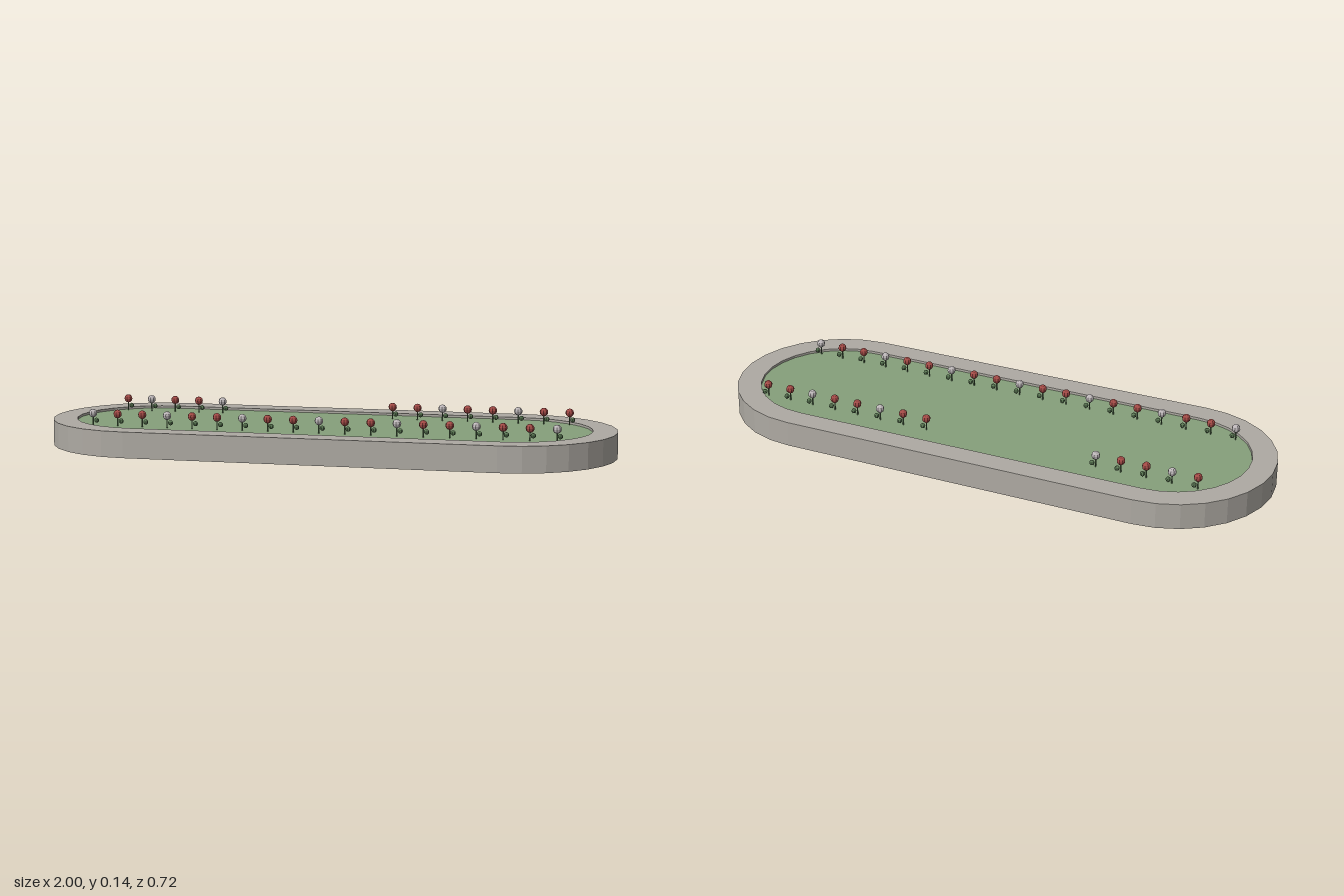
import * as THREE from 'three';

const HALF = 0.64; // half length of the straight sides
const SEG = 14;    // facets on each rounded end

// Corner points of a stadium outline with end radius r
function stadium(r) {
  const pts = [];
  for (const side of [1, -1]) {
    for (let i = 0; i <= SEG; i++) {
      const a = -Math.PI / 2 + (Math.PI * i) / SEG;
      pts.push(new THREE.Vector2(side * (HALF + r * Math.cos(a)), side * r * Math.sin(a)));
    }
  }
  return pts;
}

// Upright slab with a stadium outline between heights y0 and y1
function slab(r, y0, y1) {
  const geo = new THREE.ExtrudeGeometry(new THREE.Shape(stadium(r)), { depth: y1 - y0, bevelEnabled: false });
  return geo.rotateX(-Math.PI / 2).translate(0, y0, 0);
}

// Open vertical wall following a stadium outline
function wall(r, y0, y1, inward) {
  const pts = stadium(r);
  const pos = [];
  pts.forEach((p, i) => {
    let a = p, b = pts[(i + 1) % pts.length];
    if (inward) [a, b] = [b, a];
    const A = [a.x, y0, -a.y], B = [b.x, y0, -b.y], C = [b.x, y1, -b.y], D = [a.x, y1, -a.y];
    pos.push(...A, ...B, ...C, ...A, ...C, ...D);
  });
  const geo = new THREE.BufferGeometry();
  geo.setAttribute('position', new THREE.Float32BufferAttribute(pos, 3));
  geo.computeVertexNormals();
  return geo;
}

export function createModel() {
  const model = new THREE.Group();
  model.name = 'flowerPlanter';

  const mat = (name, color, opts = {}) => {
    const m = new THREE.MeshStandardMaterial({ color, ...opts });
    m.name = name;
    return m;
  };
  const stone = mat('stone', 0xaeaaa3, { side: THREE.DoubleSide });
  const soil = mat('soil', 0x6b5444);
  const grass = mat('grass', 0x86a07b);
  const leaf = mat('leaf', 0x5c7a55, { flatShading: true });
  const red = mat('redPetals', 0xa34a46, { flatShading: true });
  const white = mat('whitePetals', 0xbcb6b8, { flatShading: true });

  const add = (parent, name, geo, material, x = 0, y = 0, z = 0) => {
    const mesh = new THREE.Mesh(geo, material);
    mesh.name = name;
    mesh.position.set(x, y, z);
    parent.add(mesh);
  };

  // Stone kerb, open underneath
  const R = 0.36, r = 0.275, H = 0.09;
  const kerb = new THREE.Group();
  kerb.name = 'kerb';
  add(kerb, 'outerWall', wall(R, 0, H, false), stone);
  add(kerb, 'innerWall', wall(r, 0, H, true), stone);
  const ring = new THREE.Shape(stadium(R));
  ring.holes.push(new THREE.Path(stadium(r)));
  add(kerb, 'rimTop', new THREE.ShapeGeometry(ring).rotateX(-Math.PI / 2), stone, 0, H, 0);
  model.add(kerb);

  // Planting bed
  add(model, 'soilBed', slab(r - 0.001, 0, 0.076), soil);
  add(model, 'grassTop', slab(r - 0.001, 0.076, 0.082), grass);

  // Flowers in two rows, the back one with a gap in the middle
  const headGeo = new THREE.SphereGeometry(0.015, 8, 6);
  const leafGeo = new THREE.SphereGeometry(0.009, 8, 6);
  const stemGeo = new THREE.CylinderGeometry(0.0025, 0.0025, 0.044, 5);
  const flower = (i, z, petals) => {
    const g = new THREE.Group();
    g.name = 'flower';
    add(g, 'stem', stemGeo, leaf, 0, 0.1, 0);
    add(g, 'leaf', leafGeo, leaf, 0.01, 0.099, -0.008);
    add(g, 'head', headGeo, petals, 0, 0.125, 0);
    g.position.set((i - 9) * 0.09 + 0.005, 0, z);
    model.add(g);
  };
  for (let i = 0; i < 19; i++) {
    flower(i, 0.19, i % 3 === 0 ? white : red);
    if (i < 5 || i > 10) flower(i, -0.19, i % 3 === 1 ? white : red);
  }
  return model;
}
